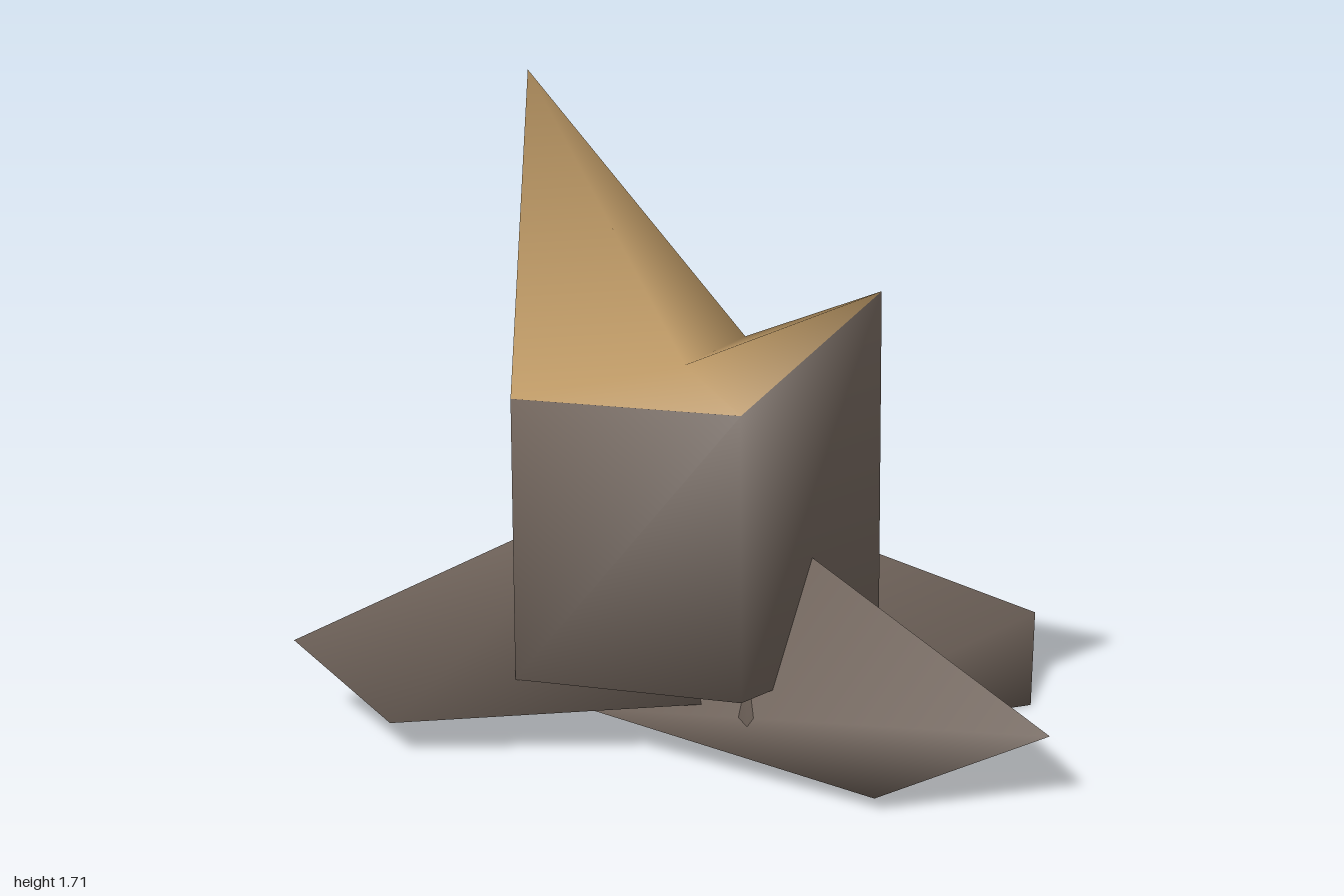
import * as THREE from 'three';

// Smooth solid from shared corner points and triangles
function solid(points, faces) {
  const g = new THREE.BufferGeometry();
  g.setAttribute('position', new THREE.Float32BufferAttribute(points.flat(), 3));
  g.setIndex(faces.flat());
  g.computeVertexNormals();
  return g;
}

export function createModel() {
  const model = new THREE.Group();
  const bark = new THREE.MeshStandardMaterial({ color: 0x74675e, side: THREE.DoubleSide });
  bark.name = 'bark';
  const wood = new THREE.MeshStandardMaterial({ color: 0xc8a26c, side: THREE.DoubleSide });
  wood.name = 'cut wood';

  // Trunk: five sides with a jagged broken top, rim as x, y, z
  const rim = [
    [-0.12, 1.71, -0.69], [0.38, 0.935, -0.33], [0.19, 1.16, 0.265],
    [-0.43, 0.935, 0.265], [-0.625, 0.935, -0.33],
  ];
  const n = rim.length, baseY = 0.18;
  const points = [
    ...rim, ...rim.map(([x, , z]) => [x, baseY, z]),
    [-0.12, 0.96, -0.155], [-0.12, baseY, -0.165],
  ];
  const walls = [], top = [];
  for (let i = 0; i < n; i++) {
    const j = (i + 1) % n;
    walls.push([n + j, n + i, i], [n + j, i, j], [2 * n + 1, n + i, n + j]);
    top.push([2 * n, j, i]);
  }
  const trunkGeo = solid(points, [...walls, ...top]);
  trunkGeo.addGroup(0, walls.length * 3, 0);
  trunkGeo.addGroup(walls.length * 3, top.length * 3, 1);
  const trunk = new THREE.Mesh(trunkGeo, [bark, wood]);
  trunk.name = 'trunk';
  model.add(trunk);

  // Roots: leaning three-sided wedges running down from inside the trunk
  function addRoot(name, tip, axis, drop) {
    const [ax, az] = new THREE.Vector2(...axis).normalize().toArray();
    // back = distance inward from the tip, side = across, h = height
    const at = (back, side, h) =>
      [tip[0] - ax * back + az * side, h, tip[2] - az * back - ax * side];
    const y = tip[1], low = y - drop;
    const geo = solid([
      at(0, 0, y), at(0.29, -0.352, low), at(0.29, 0.352, low),
      at(0.975, 0, y + 0.455), at(1.22, -0.352, low + 0.053), at(1.22, 0.352, low + 0.053),
    ], [
      [0, 1, 2], [3, 5, 4], [1, 4, 5], [1, 5, 2],
      [0, 2, 3], [2, 5, 3], [0, 3, 4], [0, 4, 1],
    ]);
    const root = new THREE.Mesh(geo, bark);
    root.name = name;
    model.add(root);
  }
  addRoot('frontRoot', [-0.12, 0.155, 1.0], [0, 1], 0.125);
  addRoot('leftRoot', [0.865, 0.13, 0.345], [0.94, 0.34], 0.13);
  addRoot('backRoot', [-0.765, 0.2, -1.0], [-0.61, -0.79], 0.12);

  return model;
}
